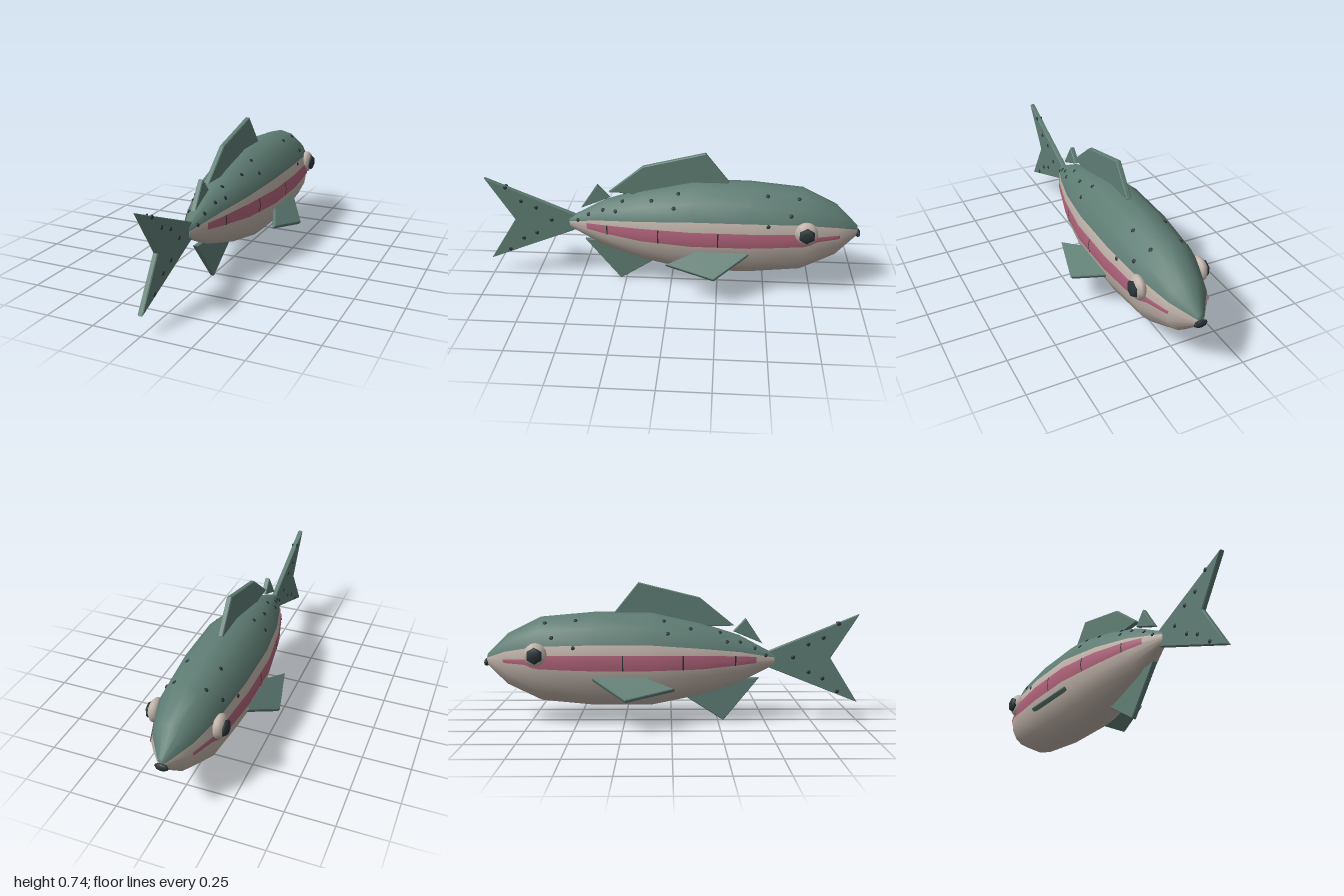
import * as THREE from 'three';

const mat = (name, color, side = THREE.FrontSide) => {
  const m = new THREE.MeshStandardMaterial({ color, side });
  m.name = name;
  return m;
};

// body sections: z, half width, centre height, half height
const SECTIONS = [
  [-0.98, 0.022, 0.335, 0.03], [-0.87, 0.108, 0.337, 0.138], [-0.69, 0.17, 0.338, 0.226],
  [-0.41, 0.195, 0.337, 0.252], [-0.11, 0.195, 0.337, 0.252], [0.15, 0.155, 0.335, 0.197],
  [0.36, 0.095, 0.335, 0.13], [0.55, 0.02, 0.333, 0.03],
];
const SIDES = 16;

function sectionAt(z) {
  let i = 0;
  while (i < SECTIONS.length - 2 && z > SECTIONS[i + 1][0]) i++;
  const a = SECTIONS[i], b = SECTIONS[i + 1];
  const t = (z - a[0]) / (b[0] - a[0]);
  return a.map((v, k) => v + (b[k] - v) * t);
}

// lofted body; material 0 is the back, material 1 the belly
function bodyGeometry() {
  const pos = [], back = [], belly = [];
  for (const [z, w, cy, h] of SECTIONS) {
    for (let j = 0; j < SIDES; j++) {
      const a = (j / SIDES) * Math.PI * 2;
      pos.push(w * Math.cos(a), cy + h * Math.sin(a), z);
    }
  }
  const last = SECTIONS.length - 1;
  const nose = pos.length / 3, end = nose + 1;
  pos.push(0, SECTIONS[0][2], -0.985, 0, SECTIONS[last][2], 0.555);
  for (let j = 0; j < SIDES; j++) {
    const n = (j + 1) % SIDES;
    const list = j >= 1 && j <= 6 ? back : belly;
    for (let i = 0; i < last; i++) {
      const p = i * SIDES, q = p + SIDES;
      list.push(p + j, p + n, q + n, p + j, q + n, q + j);
    }
    list.push(nose, n, j, end, last * SIDES + j, last * SIDES + n);
  }
  const g = new THREE.BufferGeometry();
  g.setAttribute('position', new THREE.Float32BufferAttribute(pos, 3));
  g.setIndex([...back, ...belly]);
  g.addGroup(0, back.length, 0);
  g.addGroup(back.length, belly.length, 1);
  g.computeVertexNormals();
  return g;
}

// side band hugging the body: stations of [z, half height]
function bandGeometry(stations, side, lift) {
  const pos = [], idx = [];
  stations.forEach(([z, half], i) => {
    const [, w, cy, h] = sectionAt(z);
    for (const d of [half, 0, -half]) {
      const x = w * (1 - (0.076 * Math.abs(d)) / h / 0.383) + lift;
      pos.push(side * x, cy + 0.005 + d, z);
    }
    if (i === 0) return;
    for (let k = 0; k < 2; k++) {
      const p = (i - 1) * 3 + k, q = p + 3;
      if (side > 0) idx.push(p, q + 1, q, p, p + 1, q + 1);
      else idx.push(p, q, q + 1, p, q + 1, p + 1);
    }
  });
  const g = new THREE.BufferGeometry();
  g.setAttribute('position', new THREE.Float32BufferAttribute(pos, 3));
  g.setIndex(idx);
  g.computeVertexNormals();
  return g;
}

// bevelled slab from a flat outline
function slabGeometry(points, thick) {
  const b = 0.004;
  const g = new THREE.ExtrudeGeometry(new THREE.Shape(points.map(p => new THREE.Vector2(...p))), {
    depth: thick - 2 * b, bevelThickness: b, bevelSize: b, bevelOffset: -b, bevelSegments: 1,
  });
  return g.translate(0, 0, b - thick / 2);
}

export function createModel() {
  const group = new THREE.Group();
  group.name = 'fish';
  const green = mat('back green', 0x5f7d74);
  const cream = mat('belly cream', 0xbfb2a9);
  const pink = mat('stripe pink', 0xb0637a, THREE.DoubleSide);
  const dark = mat('dark markings', 0x2a3436, THREE.DoubleSide);

  const add = (name, geo, material, x = 0, y = 0, z = 0) => {
    const m = new THREE.Mesh(geo, material);
    m.name = name;
    m.position.set(x, y, z);
    group.add(m);
    return m;
  };

  add('body', bodyGeometry(), [green, cream]);
  add('mouth', new THREE.SphereGeometry(1, 8, 6).scale(0.036, 0.02, 0.014), dark, 0, 0.32, -0.986);

  // upright fins, outlines as [z, y]
  const fins = {
    tailFin: [[0.51, 0.375], [1, 0.575], [0.85, 0.34], [1, 0.1], [0.51, 0.295]],
    dorsalFin: [[-0.3, 0.59], [-0.175, 0.745], [0.15, 0.665], [0.335, 0.515], [0.1, 0.51], [-0.25, 0.54]],
    smallBackFin: [[0.33, 0.485], [0.395, 0.555], [0.485, 0.42]],
    analFin: [[0.47, 0.235], [0.28, 0.002], [0.08, 0.13], [0.15, 0.2], [0.35, 0.23]],
  };
  for (const [name, outline] of Object.entries(fins)) {
    const geo = slabGeometry(outline.map(([z, y]) => [-z, y]), 0.026).rotateY(Math.PI / 2);
    add(name, geo, green);
  }

  // marks on the back, as [z, y]
  const backSpots = [
    [-0.66, 0.54], [-0.62, 0.47], [-0.5, 0.553], [-0.505, 0.42], [-0.04, 0.55], [-0.02, 0.49],
    [0.1, 0.51], [0.255, 0.485], [0.29, 0.44], [0.36, 0.435], [0.44, 0.4], [0.5, 0.36],
  ];
  const tailSpots = [
    [0.89, 0.525], [0.81, 0.45], [0.73, 0.415], [0.65, 0.345], [0.735, 0.265], [0.81, 0.23], [0.89, 0.16],
  ];
  const spot = new THREE.SphereGeometry(0.011, 8, 6).scale(1, 1, 0.5);
  const stripe = [
    [-0.88, 0.008], [-0.87, 0.01], [-0.76, 0.014], [-0.72, 0.03], [-0.69, 0.034], [-0.55, 0.038],
    [-0.41, 0.04], [-0.11, 0.04], [0.15, 0.036], [0.36, 0.023], [0.45, 0.016],
  ];

  for (const s of [1, -1]) {
    const label = s > 0 ? 'left' : 'right';

    add(label + 'Stripe', bandGeometry(stripe, s, 0.005), pink);
    for (const [z, half] of [[-0.25, 0.041], [0.06, 0.038], [0.335, 0.026]]) {
      add(label + 'StripeBar', bandGeometry([[z - 0.003, half], [z + 0.003, half]], s, 0.008), dark);
    }

    // eye
    add(label + 'Eye', new THREE.SphereGeometry(1, 10, 8).scale(0.035, 0.062, 0.062), cream, s * 0.163, 0.382, -0.7);
    add(label + 'Pupil', new THREE.SphereGeometry(1, 6, 6).rotateZ(Math.PI / 2).scale(0.02, 0.044, 0.044),
      dark, s * 0.19, 0.38, -0.702);

    // pectoral fin, outline as [distance from root, z], tilted down and out
    const pectoral = slabGeometry([[-0.02, -0.36], [0.015, -0.41], [0.16, -0.235], [0.085, 0.015], [0.02, -0.11], [-0.02, -0.15]], 0.024);
    pectoral.rotateX(Math.PI / 2);
    if (s < 0) pectoral.rotateZ(Math.PI).translate(0, 0, 0);
    const fin = add(label + 'PectoralFin', pectoral, green, s * 0.17, 0.265, 0);
    fin.rotation.z = -s * 0.7;

    for (const [z, y] of backSpots) {
      const [, w, cy, h] = sectionAt(z);
      const sin = Math.min(0.99, (y - cy) / h), cos = Math.sqrt(1 - sin * sin);
      const m = add('backSpot', spot, dark, s * w * cos * 0.99, cy + h * sin * 0.99, z);
      m.lookAt(m.position.x + s * cos / w, m.position.y + sin / h, z);
    }
    for (const [z, y] of tailSpots) {
      add('tailSpot', spot, dark, s * 0.013, y, z).rotation.y = Math.PI / 2;
    }
  }
  return group;
}
